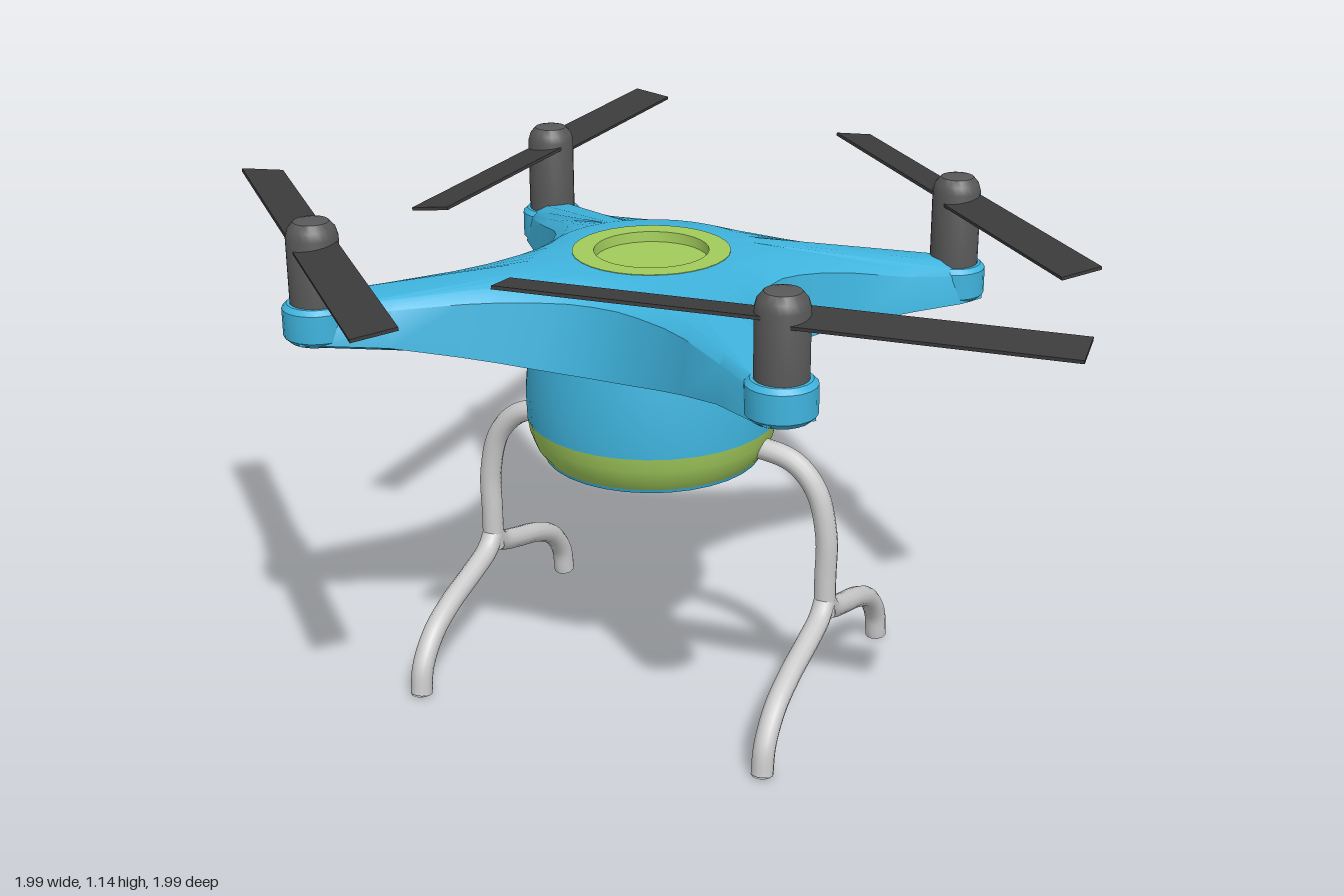
import * as THREE from 'three';
import { toCreasedNormals } from 'three/addons/utils/BufferGeometryUtils.js';

const mat = (color) => new THREE.MeshStandardMaterial({ color, side: THREE.DoubleSide });
const BLUE = mat(0x3fb4de), GREEN = mat(0xa2cb5c), MOTOR = mat(0x585858), BLADE = mat(0x3c3c3c), GREY = mat(0xcccccc);

function add(parent, name, geometry, material, x = 0, y = 0, z = 0) {
  const mesh = new THREE.Mesh(geometry, material);
  mesh.name = name;
  mesh.position.set(x, y, z);
  parent.add(mesh);
  return mesh;
}

const lathe = (points, segments = 32) =>
  toCreasedNormals(new THREE.LatheGeometry(points.map((p) => new THREE.Vector2(...p)), segments), 0.6);

// Four-armed shell: one eighth of the plan outline, mirrored and turned, lofted from underside to top
function shellGeometry() {
  const eighth = [[0, 0.297], [0.055, 0.301], [0.11, 0.317], [0.18, 0.345], [0.245, 0.383],
    [0.36, 0.472], [0.45, 0.547], [0.505, 0.575]];
  const { lerp, clamp } = THREE.MathUtils;
  const ring = (inset, height) => {
    const one = eighth.map(([a, b]) => {
      const t = clamp((Math.hypot(a, b) - 0.3) / 0.36, 0, 1);
      return { x: a, z: b - lerp(inset, inset * 0.5, t), t };
    });
    const quarter = [...one, ...one.slice(1).reverse().map((p) => ({ x: p.z, z: p.x, t: p.t }))];
    const out = [];
    for (let q = 0; q < 4; q++) {
      for (const p of quarter) {
        let { x, z } = p;
        for (let k = 0; k < q; k++) [x, z] = [z, -x];
        out.push([x, height(p.t, z > 0), z]);
      }
    }
    return out;
  };
  const circle = (r, y, base) => base.map(([x, , z]) => {
    const s = r / Math.hypot(x, z);
    return [x * s, y, z * s];
  });
  const low = ring(0, (t, front) => lerp(0.8, front ? 0.885 : 0.8, t));
  const rings = [
    circle(0.262, 0.79, low),
    low,
    ring(0.025, (t, front) => lerp(0.945, front ? 0.945 : 0.862, t)),
    ring(0.06, (t, front) => lerp(0.972, front ? 0.96 : 0.878, t)),
    circle(0.22, 0.984, low),
    circle(0.16, 0.986, low),
  ];
  const n = low.length, index = [];
  for (let j = 0; j < rings.length - 1; j++) {
    for (let i = 0; i < n; i++) {
      const a = j * n + i, b = j * n + (i + 1) % n;
      index.push(a, b, b + n, a, b + n, a + n);
    }
  }
  const g = new THREE.BufferGeometry();
  g.setAttribute('position', new THREE.Float32BufferAttribute(rings.flat(2), 3));
  g.setIndex(index);
  return toCreasedNormals(g, 0.6);
}

// Pod, motor and two pitched blades
function makeRotor(x, z, angle) {
  const rotor = new THREE.Group();
  rotor.name = 'rotor';
  rotor.position.set(x, z > 0 ? 0.88 : 0.797, z);
  add(rotor, 'pod', lathe([[0, 0], [0.058, 0], [0.07, 0.012], [0.07, 0.07], [0.06, 0.08], [0, 0.08]], 20), BLUE);
  const top = z > 0 ? 0.252 : 0.28;
  add(rotor, 'motor', lathe([[0.053, 0.07], [0.053, top - 0.035], [0.048, top - 0.018],
    [0.036, top - 0.004], [0.02, top], [0, top]], 24), MOTOR);
  const propeller = new THREE.Group();
  propeller.name = 'propeller';
  propeller.position.y = top - 0.052;
  propeller.rotation.y = angle;
  for (const s of [-1, 1]) {
    const blade = add(propeller, 'blade', new THREE.BoxGeometry(0.555, 0.007, 0.09), BLADE, s * 0.278);
    blade.rotation.x = s * 0.14;
  }
  rotor.add(propeller);
  return rotor;
}

// Bent strut with a forked foot
function makeLeg(side) {
  const leg = new THREE.Group();
  leg.name = side > 0 ? 'leftLeg' : 'rightLeg';
  const tube = (name, points, segments) => {
    const curve = new THREE.CatmullRomCurve3(points.map((p) => new THREE.Vector3(...p)));
    add(leg, name, new THREE.TubeGeometry(curve, segments, 0.024, 12), GREY);
    return curve;
  };
  const x = side * 0.41;
  tube('strut', [[side * 0.2, 0.575, 0], [side * 0.27, 0.575, 0], [side * 0.335, 0.556, 0],
    [side * 0.385, 0.5, 0], [x, 0.4, 0], [x, 0.3, 0], [x, 0.21, 0]], 40);
  for (const s of [-1, 1]) {
    tube('foot', [[x, 0.245, 0], [x, 0.215, s * 0.03], [x, 0.19, s * 0.1], [x, 0.16, s * 0.2],
      [x, 0.12, s * 0.28], [x, 0.06, s * 0.33], [x, 0, s * 0.342]], 32);
    const cap = add(leg, 'footCap', new THREE.CircleGeometry(0.024, 12), GREY, x, 0.001, s * 0.342);
    cap.rotation.x = Math.PI / 2;
  }
  return leg;
}

export function createModel() {
  const model = new THREE.Group();
  model.name = 'quadcopter';
  const drone = new THREE.Group();
  drone.name = 'drone';
  drone.position.set(-0.07, 0, 0.057);
  model.add(drone);

  // Body, belly and top badge ring
  add(drone, 'shell', shellGeometry(), BLUE);
  add(drone, 'neck', lathe([[0.272, 0.62], [0.274, 0.68], [0.268, 0.75], [0.262, 0.8]]), BLUE);
  add(drone, 'bellyBand', lathe([[0.24, 0.538], [0.256, 0.56], [0.267, 0.59], [0.272, 0.622]]), GREEN);
  add(drone, 'bellyRim', lathe([[0.222, 0.53], [0.237, 0.53], [0.24, 0.538]]), BLUE);
  add(drone, 'bellyPlate', lathe([[0, 0.53], [0.222, 0.53]]), GREEN);
  add(drone, 'topRing', lathe([[0, 0.965], [0.12, 0.965], [0.122, 0.987], [0.168, 0.987], [0.168, 0.98]].reverse()), GREEN);

  // Rotors: front pair higher than rear pair
  for (const [x, z, angle] of [[0.505, 0.505, 0.1], [-0.505, 0.505, -0.79],
    [0.505, -0.505, -0.79], [-0.505, -0.505, 1.565]]) {
    drone.add(makeRotor(x, z, angle));
  }

  for (const side of [-1, 1]) drone.add(makeLeg(side));
  return model;
}
